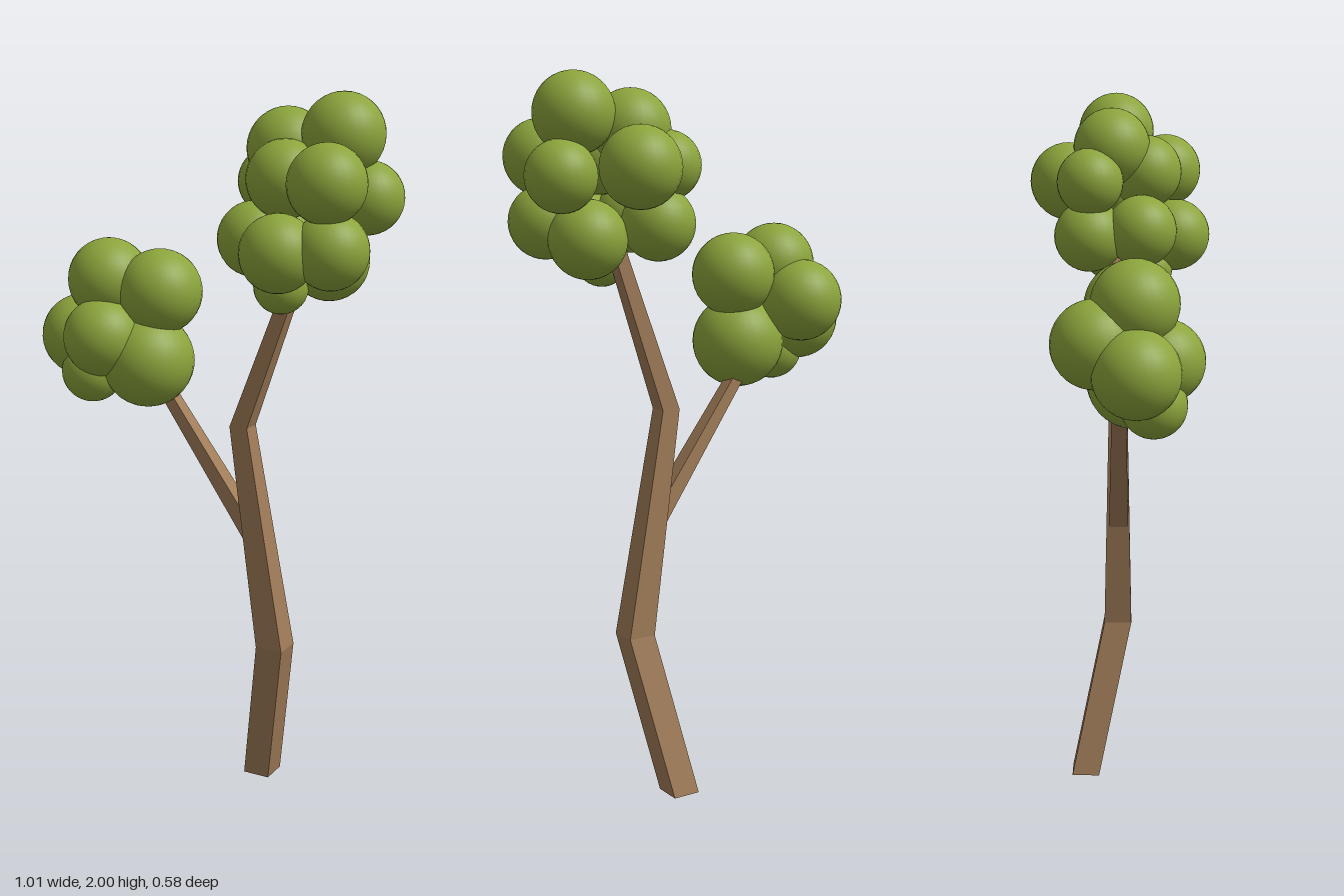
import * as THREE from 'three';

const bark = new THREE.MeshStandardMaterial({ color: 0xa07c58, flatShading: true });
const leaf = new THREE.MeshStandardMaterial({ color: 0x8ca53c });

// Square limb lofted through level sections [x, y, z, side], slightly turned about y
function limb(name, sections, turn = 0.19) {
  const rings = sections.map(([x, y, z, side]) =>
    [0, 1, 2, 3].map((i) => {
      const a = turn + Math.PI / 4 + (i * Math.PI) / 2;
      const r = side / Math.SQRT2;
      return [x + r * Math.cos(a), y, z - r * Math.sin(a)];
    }));
  const pos = [];
  const quad = (a, b, c, d) => pos.push(...a, ...b, ...c, ...a, ...c, ...d);
  for (let s = 0; s < rings.length - 1; s++) {
    for (let i = 0; i < 4; i++) {
      const j = (i + 1) % 4;
      quad(rings[s][i], rings[s][j], rings[s + 1][j], rings[s + 1][i]);
    }
  }
  // End caps
  const [first, last] = [rings[0], rings[rings.length - 1]];
  quad(first[3], first[2], first[1], first[0]);
  quad(last[0], last[1], last[2], last[3]);
  const geo = new THREE.BufferGeometry();
  geo.setAttribute('position', new THREE.Float32BufferAttribute(pos, 3));
  geo.computeVertexNormals();
  const mesh = new THREE.Mesh(geo, bark);
  mesh.name = name;
  return mesh;
}

// Cluster of leaf balls [x, y, z, radius]
function foliage(name, balls) {
  const group = new THREE.Group();
  group.name = name;
  const geo = new THREE.SphereGeometry(1, 28, 18);
  for (const [x, y, z, r] of balls) {
    const ball = new THREE.Mesh(geo, leaf);
    ball.name = 'leafBall';
    ball.position.set(x, y, z);
    ball.scale.setScalar(r);
    group.add(ball);
  }
  return group;
}

export function createModel() {
  const tree = new THREE.Group();
  tree.name = 'tree';

  // Crooked trunk and the side branch that forks from it
  tree.add(limb('trunk', [
    [0.08, 0, -0.11, 0.08],
    [0.182, 0.455, -0.032, 0.08],
    [0.078, 1.09, -0.011, 0.054],
    [0.205, 1.45, -0.042, 0.042],
    [0.25, 1.58, -0.053, 0.038],
  ]));
  tree.add(limb('sideBranch', [
    [0.13, 0.76, -0.02, 0.056],
    [-0.13, 1.13, 0.033, 0.041],
    [-0.2, 1.23, 0.047, 0.037],
  ]));

  tree.add(foliage('lowerFoliage', [
    [-0.305, 1.475, 0.11, 0.116],
    [-0.157, 1.45, 0.063, 0.118],
    [-0.393, 1.31, 0.13, 0.116],
    [-0.27, 1.325, 0.178, 0.11],
    [-0.183, 1.257, 0.088, 0.131],
    [-0.325, 1.22, 0.163, 0.088],
    [-0.347, 1.375, 0.013, 0.116],
  ]));

  tree.add(foliage('upperFoliage', [
    [0.355, 1.89, -0.072, 0.109],
    [0.192, 1.85, -0.052, 0.108],
    [0.212, 1.753, -0.182, 0.109],
    [0.108, 1.757, -0.097, 0.093],
    [0.403, 1.778, 0.065, 0.103],
    [0.25, 1.78, 0.035, 0.102],
    [0.288, 1.6, 0.112, 0.102],
    [0.157, 1.62, 0.04, 0.1],
    [0.402, 1.608, 0.042, 0.1],
    [0.405, 1.73, -0.115, 0.096],
    [0.135, 1.605, -0.105, 0.1],
    [0.32, 1.565, -0.07, 0.106],
    [0.245, 1.503, 0.04, 0.073],
  ]));

  return tree;
}
